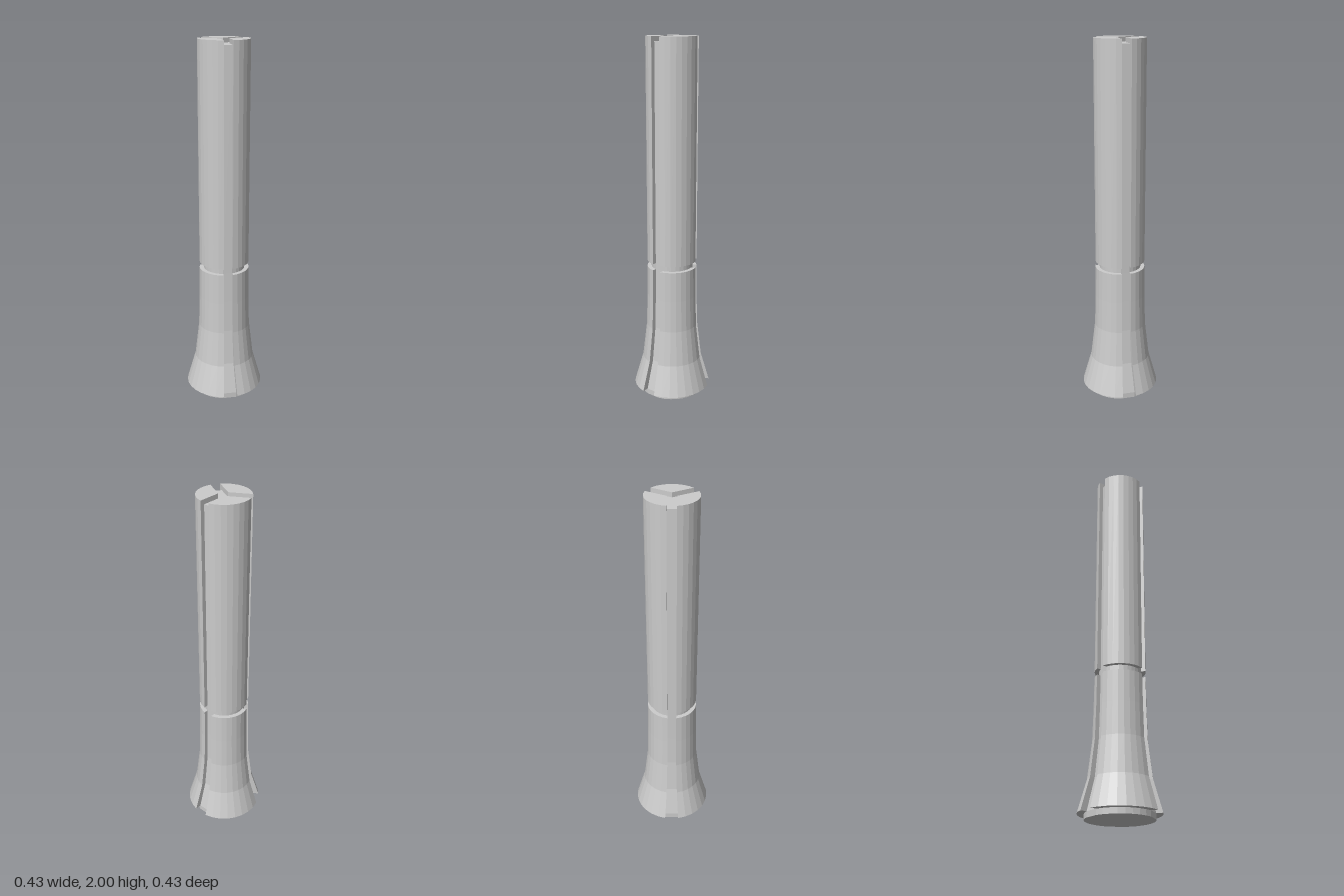
import * as THREE from 'three';

const SLOT = 0.025;          // half width of the three slots
const OUTER = 0.138, CORE = 0.1148;
const STEPS = 8;             // facets per third

// Arc of one third of a circle, stopping at the slot walls
function arc(radius, turn = 0) {
  const half = Math.PI / 3 - Math.asin(SLOT / radius);
  return Array.from({ length: STEPS + 1 }, (_, i) => {
    const a = turn - half + (2 * half * i) / STEPS;
    return [radius * Math.cos(a), -radius * Math.sin(a)];
  });
}

// Closed solid: one outline scaled through [height, scale] levels, capped at both ends
function loft(outline, levels) {
  const n = outline.length, positions = [], index = [];
  for (const [y, s] of levels) for (const [x, z] of outline) positions.push(x * s, y, z * s);
  for (let l = 0; l < levels.length - 1; l++) {
    for (let i = 0; i < n; i++) {
      const a = l * n + i, b = l * n + ((i + 1) % n);
      index.push(a, b, b + n, a, b + n, a + n);
    }
  }
  const top = (levels.length - 1) * n;
  for (let i = 1; i < n - 1; i++) {
    index.push(0, i + 1, i);
    index.push(top, top + i, top + i + 1);
  }
  const geometry = new THREE.BufferGeometry();
  geometry.setAttribute('position', new THREE.Float32BufferAttribute(positions, 3));
  geometry.setIndex(index);
  const flat = geometry.toNonIndexed();
  flat.computeVertexNormals();
  return flat;
}

export function createModel() {
  const group = new THREE.Group();
  const material = new THREE.MeshStandardMaterial({ color: 0xcccccc, flatShading: true });
  const add = (name, geometry, turn = 0) => {
    const mesh = new THREE.Mesh(geometry, material);
    mesh.name = name;
    mesh.rotation.y = turn;
    group.add(mesh);
  };
  const third = (Math.PI * 2) / 3;
  const flare = [[0.03, 1.57], [0.2, 1.22], [0.4, 1.05], [0.58, 1.015], [0.75, 1]];

  // Inner core, showing as the slot floors, the ring groove and the foot
  const coreOutline = [0, 1, 2].flatMap((i) => arc(CORE, i * third));
  add('core', loft(coreOutline, [[0, 1.57], ...flare, [1.975, 1]]));

  // Three outer segments, split into a straight shaft and a flared base
  const sector = [[SLOT / Math.sin(Math.PI / 3), 0], ...arc(OUTER)];
  const shaft = loft(sector, [[0.785, 1], [2, 1]]);
  const base = loft(sector, flare);
  for (let i = 0; i < 3; i++) {
    add('shaftSegment' + (i + 1), shaft, i * third);
    add('flaredBaseSegment' + (i + 1), base, i * third);
  }
  return group;
}
